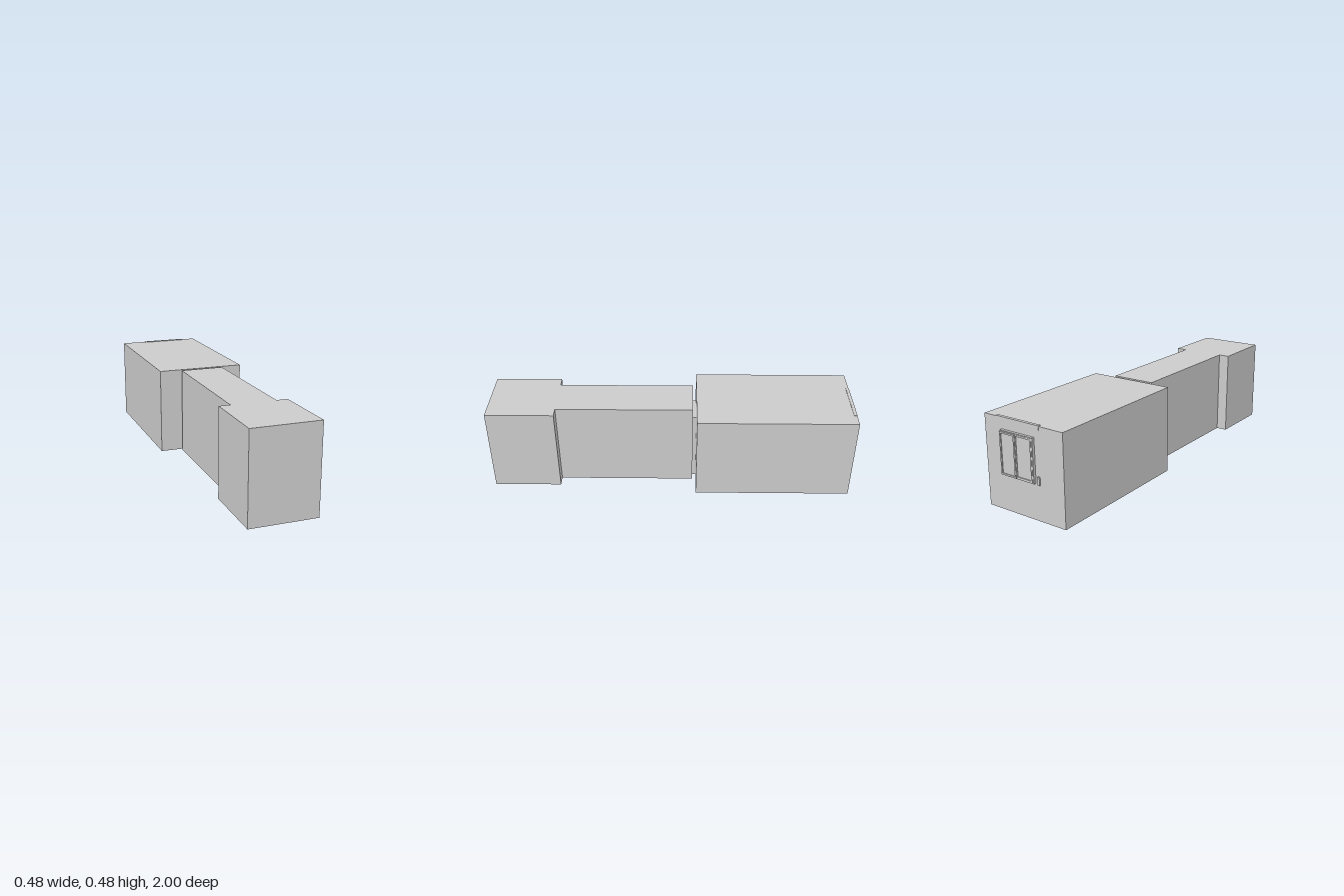
import * as THREE from 'three';

const material = new THREE.MeshStandardMaterial({ color: 0xcccccc, flatShading: true });

// Box given by its min and max on each axis
function box(name, [x0, x1], [y0, y1], [z0, z1]) {
  const mesh = new THREE.Mesh(new THREE.BoxGeometry(x1 - x0, y1 - y0, z1 - z0), material);
  mesh.position.set((x0 + x1) / 2, (y0 + y1) / 2, (z0 + z1) / 2);
  mesh.name = name;
  return mesh;
}

// Rectangular frame with an opening, its back at z0 and its face at z1
function frame(name, [x0, x1], [y0, y1], [z0, z1], border) {
  const rect = (Type, inset) => new Type([
    new THREE.Vector2(x0 + inset, y0 + inset), new THREE.Vector2(x1 - inset, y0 + inset),
    new THREE.Vector2(x1 - inset, y1 - inset), new THREE.Vector2(x0 + inset, y1 - inset),
  ]);
  const shape = rect(THREE.Shape, 0);
  shape.holes.push(rect(THREE.Path, border));
  const mesh = new THREE.Mesh(
    new THREE.ExtrudeGeometry(shape, { depth: z1 - z0, bevelEnabled: false }), material);
  mesh.position.z = z0;
  mesh.name = name;
  return mesh;
}

// Sliding sash: frame plus recessed pane
function sash(name, xs, ys, zBack) {
  const group = new THREE.Group();
  group.name = name;
  group.add(frame('sashFrame', xs, ys, [zBack, -0.97], 0.008));
  group.add(box('pane', xs.map((x, i) => x + (i ? -0.006 : 0.006)),
    ys.map((y, i) => y + (i ? -0.006 : 0.006)), [zBack + 0.005, -0.97]));
  return group;
}

export function createModel() {
  const model = new THREE.Group();
  model.name = 'roomsWithCorridor';
  const height = 0.475;

  // Large room and the doorway that links it to the corridor
  model.add(box('mainRoom', [-0.242, 0.241], [0, height], [-0.978, -0.13]));
  model.add(box('doorway', [-0.085, 0.08], [0, 0.4], [-0.132, -0.108]));

  // Corridor widening into the end room, one T-shaped plan (plan y = -z)
  const plan = new THREE.Shape([
    [-0.182, -1], [0.18, -1], [0.18, -0.632], [0.12, -0.632],
    [0.12, 0.11], [-0.122, 0.11], [-0.122, -0.632], [-0.182, -0.632],
  ].map(([x, y]) => new THREE.Vector2(x, y)));
  const corridorGeometry = new THREE.ExtrudeGeometry(plan, { depth: height, bevelEnabled: false });
  corridorGeometry.rotateX(-Math.PI / 2);
  const corridor = new THREE.Mesh(corridorGeometry, material);
  corridor.name = 'corridorAndEndRoom';
  model.add(corridor);

  // Sliding window in the back wall
  const windowGroup = new THREE.Group();
  windowGroup.name = 'window';
  windowGroup.add(frame('windowFrame', [-0.07, 0.132], [0.19, 0.417], [-0.992, -0.97], 0.008));
  windowGroup.add(sash('outerSash', [0.035, 0.13], [0.195, 0.412], -1));
  windowGroup.add(sash('innerSash', [-0.063, 0.041], [0.195, 0.412], -0.994));
  model.add(windowGroup);

  // Curtain box just breaking through the ceiling and wall, and a small plate
  model.add(box('curtainBox', [-0.1, 0.165], [0.427, 0.478], [-0.979, -0.962]));
  model.add(box('wallPlate', [-0.097, -0.085], [0.185, 0.228], [-0.985, -0.97]));
  return model;
}
